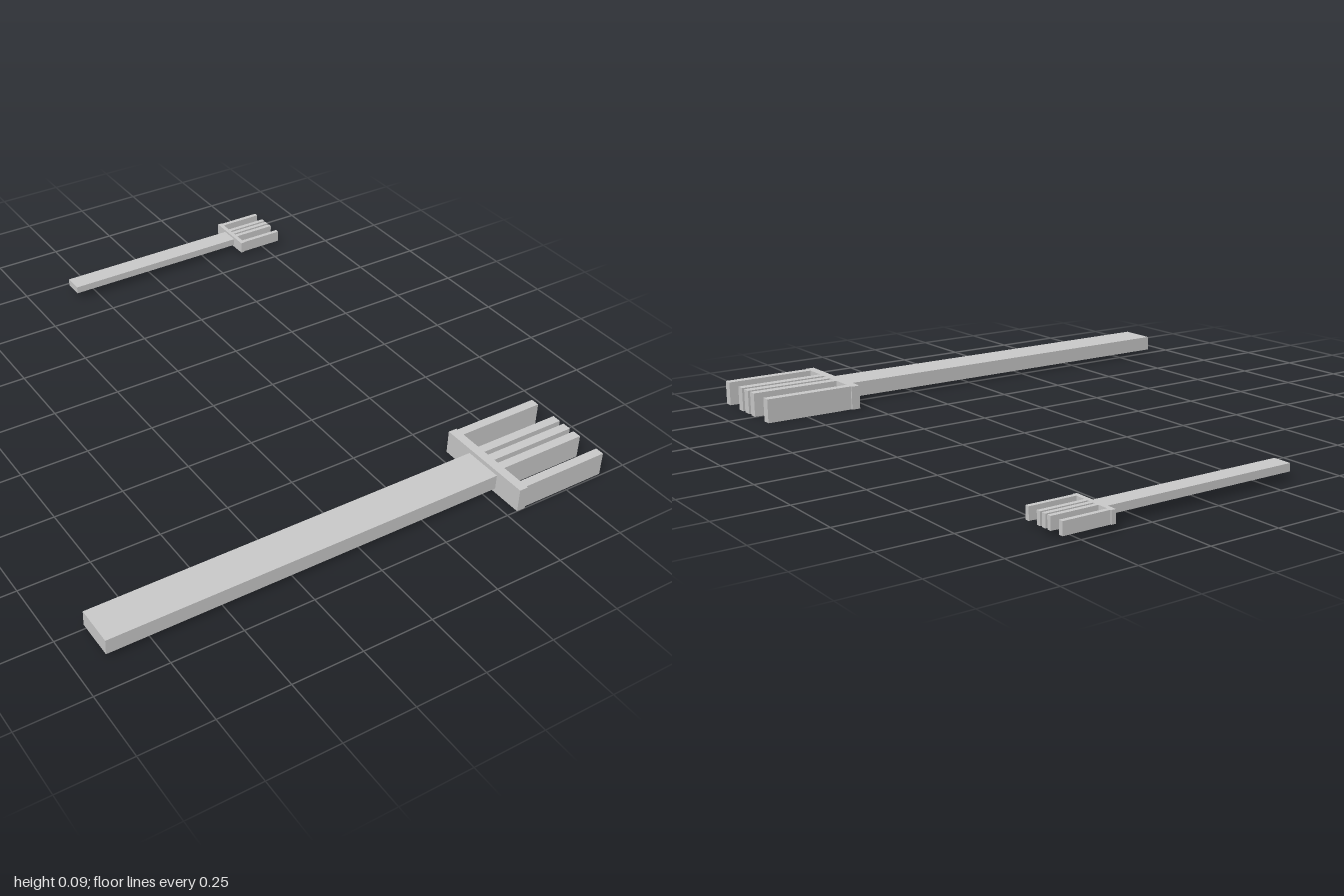
import * as THREE from 'three';

const material = new THREE.MeshStandardMaterial({ color: 0xcccccc, flatShading: true });

// Box given by its x range, height and z centre, centred on y = 0
function bar(name, x0, x1, height, depth, z = 0) {
  const mesh = new THREE.Mesh(new THREE.BoxGeometry(x1 - x0, height, depth), material);
  mesh.name = name;
  mesh.position.set((x0 + x1) / 2, 0, z);
  return mesh;
}

// Flat fork lying along x, tines towards +x
function createFork(name) {
  const fork = new THREE.Group();
  fork.name = name;
  fork.add(bar('handle', -0.9, 0.54, 0.054, 0.14));
  fork.add(bar('crossbar', 0.54, 0.572, 0.086, 0.364));
  // Two outer tines and a close central trio
  [-0.16, -0.05, 0, 0.05, 0.16].forEach((z, i) => {
    fork.add(bar(`tine${i + 1}`, 0.572, 0.9, 0.086, 0.032, z));
  });
  return fork;
}

export function createModel() {
  const model = new THREE.Group();
  model.name = 'forkPair';

  const largeFork = createFork('largeFork');
  largeFork.position.set(0, 0.043, 0.818);

  // Half-size copy, level with the middle of the large one
  const smallFork = createFork('smallFork');
  smallFork.scale.setScalar(0.5);
  smallFork.position.set(0.36, 0.043, -0.909);

  model.add(largeFork, smallFork);
  return model;
}
